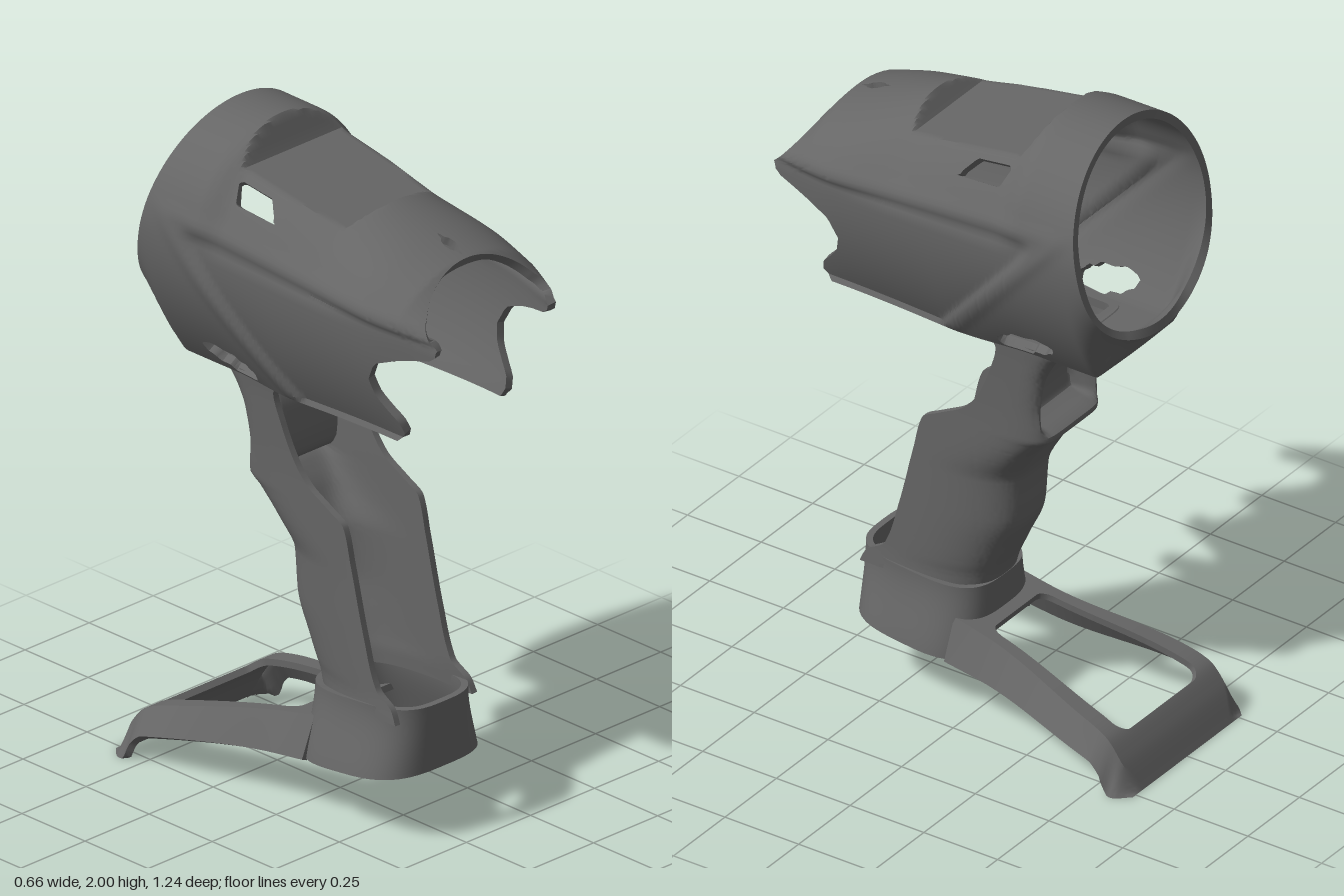
import * as THREE from 'three';
import { toCreasedNormals } from 'three/addons/utils/BufferGeometryUtils.js';

const { lerp, smoothstep, clamp } = THREE.MathUtils;
const material = new THREE.MeshStandardMaterial({ color: 0x666666, side: THREE.DoubleSide });

// Piecewise curve through [position, value] pairs; rounded ones have smooth monotone joints
function curve(pts, rounded = true) {
  const slope = i => (pts[i + 1][1] - pts[i][1]) / (pts[i + 1][0] - pts[i][0]);
  const tangent = i => {
    if (i === 0) return slope(0);
    if (i === pts.length - 1) return slope(i - 1);
    const a = slope(i - 1), b = slope(i);
    return a * b <= 0 ? 0 : 2 * a * b / (a + b);
  };
  return t => {
    if (t <= pts[0][0]) return pts[0][1];
    for (let i = 0; i < pts.length - 1; i++) {
      if (t > pts[i + 1][0]) continue;
      const [x0, y0] = pts[i], [x1, y1] = pts[i + 1], h = x1 - x0, k = (t - x0) / h;
      if (!rounded) return lerp(y0, y1, k);
      const k2 = k * k, k3 = k2 * k;
      return (2 * k3 - 3 * k2 + 1) * y0 + (k3 - 2 * k2 + k) * h * tangent(i)
        + (3 * k2 - 2 * k3) * y1 + (k3 - k2) * h * tangent(i + 1);
    }
    return pts[pts.length - 1][1];
  };
}

// Rounded-square point at an angle: n = 2 is a circle, larger is squarer
function squircle(a, n) {
  const c = Math.cos(a), s = Math.sin(a), r = (Math.abs(c) ** n + Math.abs(s) ** n) ** (-1 / n);
  return [c * r, s * r];
}

// Thick shell over a grid of points; it is trimmed where opening() is above zero, and every edge gets a wall
function thickShell(name, nu, nv, closed, thickness, point, opening = () => -1) {
  const grid = [], pos = [];
  const at = (i, j) => grid[clamp(j, 0, nv) * (nu + 1) + (closed ? (i + nu) % nu : clamp(i, 0, nu))];
  for (let j = 0; j <= nv; j++) for (let i = 0; i <= nu; i++) {
    const p = point(i / nu, j / nv);
    grid.push({ p, i, j, f: opening(p, i / nu) });
  }
  for (let j = 0; j <= nv; j++) for (let i = 0; i <= nu; i++) {
    const du = at(i + 1, j).p.clone().sub(at(i - 1, j).p), dv = at(i, j + 1).p.clone().sub(at(i, j - 1).p);
    const g = at(i, j);
    g.q = g.p.clone().addScaledVector(dv.cross(du).normalize(), -thickness);
    g.q.y = Math.max(g.q.y, 0);
  }
  const face = pts => {
    for (let k = 1; k < pts.length - 1; k++) [pts[0], pts[k], pts[k + 1]].forEach(p => pos.push(p.x, p.y, p.z));
  };
  const crossing = (a, b) => {
    const t = a.f / (a.f - b.f);
    return { p: a.p.clone().lerp(b.p, t), q: a.q.clone().lerp(b.q, t), i: a.i + (b.i - a.i) * t, j: a.j + (b.j - a.j) * t, trimmed: true };
  };
  for (let j = 0; j < nv; j++) for (let i = 0; i < nu; i++) {
    const corners = [at(i, j), at(i, j + 1), at(i + 1, j + 1), at(i + 1, j)], kept = [];
    corners.forEach((a, k) => {
      const b = corners[(k + 1) % 4];
      if (a.f <= 0) kept.push(a);
      if ((a.f <= 0) !== (b.f <= 0)) kept.push(crossing(a, b));
    });
    if (kept.length < 3) continue;
    face(kept.map(k => k.p));
    face(kept.map(k => k.q).reverse());
    kept.forEach((a, k) => {
      const b = kept[(k + 1) % kept.length];
      const rim = a.j === b.j && (a.j === 0 || a.j === nv);
      const side = !closed && a.i === b.i && (a.i === 0 || a.i === nu);
      if (rim || side || (a.trimmed && b.trimmed)) face([b.p, a.p, a.q, b.q]);
    });
  }
  const g = new THREE.BufferGeometry();
  g.setAttribute('position', new THREE.Float32BufferAttribute(pos, 3));
  const mesh = new THREE.Mesh(toCreasedNormals(g, 0.6), material);
  mesh.name = name;
  return mesh;
}

// Barrel housing: round ring at the rear, narrowing canopy with two side flaps at the front
function housing() {
  const SIDE = 54 / 64; // share of the half outline above the floor
  const width = curve([[-0.53, 0.323], [-0.28, 0.323], [0, 0.315], [0.38, 0.296], [0.62, 0.247]]);
  const top = curve([[-0.4, 2], [-0.22, 2], [0, 1.955], [0.24, 1.885], [0.5, 1.8], [0.62, 1.7]], false);
  const middle = curve([[-0.5, 1.68], [0.62, 1.62]], false);
  const panel = curve([[-0.25, 2.05], [-0.19, 1.905], [0.19, 1.84], [0.25, 1.92]], false);
  const frontEdge = curve([[1.29, 0.44], [1.31, 0.47], [1.35, 0.46], [1.38, 0.43], [1.42, 0.395],
    [1.47, 0.38], [1.53, 0.41], [1.57, 0.5], [1.6, 0.61], [1.645, 0.62], [1.7, 0.58], [1.8, 0.5]], false);
  const section = (s, z) => {
    const w = width(z), ym = middle(z), c = Math.cos(s * Math.PI);
    let x = w * Math.sin(s * Math.PI), y = ym + (top(z) - ym) * c;
    if (s > 0.5) {
      const yRing = ym + 0.31 * c, q = Math.min((s - 0.5) / (SIDE - 0.5), 1);
      const wb = lerp(0.175, 0.21, smoothstep(z, -0.25, 0.05)), k = smoothstep(z, -0.535, -0.43);
      const xBody = s > SIDE ? wb * (1 - s) / (1 - SIDE) : w + (wb - w) * q * q;
      x = lerp(x, xBody, k);
      y = lerp(yRing, lerp(ym, lerp(1.26, 1.285, smoothstep(z, -0.3, 0.4)), q), k);
    } else {
      // canopy shoulders slope in beside the top panel
      x -= 0.03 * Math.sin(s * Math.PI * 2) * smoothstep(z, -0.26, -0.16) * (1 - smoothstep(z, 0.15, 0.4));
    }
    // recessed side panel bounded by the long crease and the diagonal rib, meeting in a rounded corner
    const crease = 1.655 + (0.62 - z) * 0.085 - y, rib = (z + 0.9 * (y - 1.28) - 0.05) * 0.75;
    const edge = -Math.log(Math.exp(-40 * crease) + Math.exp(-40 * rib)) / 40;
    if (s < SIDE) x -= 0.014 * smoothstep(Math.min(edge, (y - 1.24) * 2), 0, 0.025);
    if (s > 0.3 && s < SIDE) x += 0.005 * Math.exp(-((edge + 0.02) ** 2) / 0.0004);
    return [x, Math.min(y, panel(z))];
  };
  const point = (u, v) => {
    const s = u < 0.5 ? 2 * u : 2 - 2 * u;
    const rear = -0.4 - 0.213 * (0.32 - 0.32 * Math.cos(s * Math.PI));
    const front = frontEdge(section(s, 0.5)[1]);
    const z = curve([[0, rear], [0.18, -0.25], [0.26, -0.18], [0.62, 0.17], [0.72, 0.26], [1, front]], false)(v);
    const [x, y] = section(s, z);
    return new THREE.Vector3(u < 0.5 ? x : -x, y, z);
  };
  const opening = ({ x, y, z }, u) => {
    const s = u < 0.5 ? 2 * u : 2 - 2 * u, ax = Math.abs(x);
    const floor = Math.min(s - SIDE, Math.max(z + 0.08, Math.min(0.13 - ax, z + 0.27)));
    const tilt = y - 1.312 + 0.2 * (z + 0.22);
    const oval = Math.min(ax - 0.1, 1 - Math.hypot((z + 0.22) / 0.1, tilt / 0.036));
    const slot = Math.min(ax - 0.15, z + 0.18 - (1.88 - y) * 0.4, -0.02 - (y - 1.82) * 0.9 - z,
      y - 1.81 + (z + 0.02) * 0.1, 1.88 - (z + 0.18) * 0.15 - y);
    const diamond = Math.min(y - 1.7, 1 - ax / 0.025 - Math.abs(z - 0.435) / 0.05);
    return Math.max(floor, oval, slot, diamond);
  };
  return thickShell('barrelHousing', 128, 120, true, 0.026, point, opening);
}

// Grip: a channel open to the front, with a scooped trigger pocket at the back
function grip() {
  const half = curve([[0.37, 0.16], [0.45, 0.155], [0.95, 0.157], [1.2, 0.17], [1.28, 0.178]]);
  const front = curve([[0.37, 0.38], [0.41, 0.36], [0.45, 0.3], [0.6, 0.25], [0.8, 0.2], [0.91, 0.17],
    [0.945, 0.11], [0.99, 0.03], [1.05, -0.02], [1.15, -0.065], [1.24, -0.09], [1.28, -0.05]]);
  const back = curve([[0.37, 0], [0.42, -0.015], [0.5, -0.05], [0.62, -0.1], [0.75, -0.11], [0.85, -0.15],
    [0.92, -0.205], [0.95, -0.24], [1.05, -0.228], [1.15, -0.24], [1.22, -0.27], [1.28, -0.32]]);
  const point = (u, v) => {
    const y = lerp(0.37, 1.275, v), squareness = lerp(3, 7, smoothstep(y, 0.75, 0.95));
    const [c, s] = squircle((u - 0.5) * Math.PI, squareness);
    const x = half(y) * s, zf = front(y);
    const pocket = smoothstep(y, 0.96, 1.0) * (1 - smoothstep(y, 1.21, 1.26))
      * (1 - smoothstep(Math.abs(x), 0.1, 0.138));
    return new THREE.Vector3(x, y, zf - (zf - back(y)) * c + 0.085 * pocket);
  };
  return thickShell('grip', 96, 110, false, 0.02, point);
}

// Foot cup: rounded collar flaring from the grip into the base, raised at the rear over the window
function cup() {
  const point = (u, v) => {
    const [c, s] = squircle(u * Math.PI * 2, 3.2);
    const z = 0.205 + 0.21 * s;
    const low = 0.168 + 0.1 * z + 0.07 * smoothstep(-s, 0.8, 1);
    const y = lerp(low, 0.408 - 0.025 * smoothstep(0.4 - z, 0, 0.4), v);
    const w = 0.162 + 0.06 * (1 - smoothstep(y, 0.12, 0.4));
    return new THREE.Vector3(w * c, y, z);
  };
  return thickShell('footCup', 80, 20, true, 0.02, point);
}

// Base frame: two rails with a large rounded window, joined by a turned-down rear bar
function baseFrame() {
  const top = curve([[-0.62, 0], [-0.57, 0.095], [-0.52, 0.152], [-0.45, 0.18], [0.08, 0.3]]);
  const bottom = curve([[-0.62, 0], [-0.56, 0], [-0.53, 0.055], [-0.49, 0.09], [0.08, 0.178]]);
  const half = curve([[-0.62, 0.265], [-0.57, 0.303], [-0.45, 0.292], [-0.05, 0.212], [0.08, 0.208]]);
  const point = (u, v) => {
    const z = -0.62 + 0.68 * v ** 1.4, p = u * 2 - 1, a = Math.abs(p);
    const q = Math.max(0, (a - 0.8) / 0.2), inner = half(z) - 0.05;
    const x = a < 0.8 ? inner * a / 0.8 : inner + 0.05 * q;
    return new THREE.Vector3(Math.sign(p) * x, lerp(top(z), bottom(z), q), z);
  };
  const opening = (p, u) => {
    const dx = Math.abs(u * 2 - 1) * 0.3 - 0.145, dz = Math.abs(p.z + 0.288) - 0.207;
    return 0.04 - Math.hypot(Math.max(dx, 0), Math.max(dz, 0));
  };
  return thickShell('baseFrame', 60, 60, false, 0.02, point, opening);
}

export function createModel() {
  const model = new THREE.Group();
  model.name = 'toolShell';
  model.add(housing(), grip(), cup(), baseFrame());
  // small mounting tabs inside the lower edge of the flaps
  for (const side of [-1, 1]) {
    const tab = new THREE.Mesh(new THREE.BoxGeometry(0.05, 0.06, 0.12), material);
    tab.name = side > 0 ? 'leftTab' : 'rightTab';
    tab.position.set(side * 0.175, 1.31, 0.0);
    model.add(tab);
  }
  return model;
}
